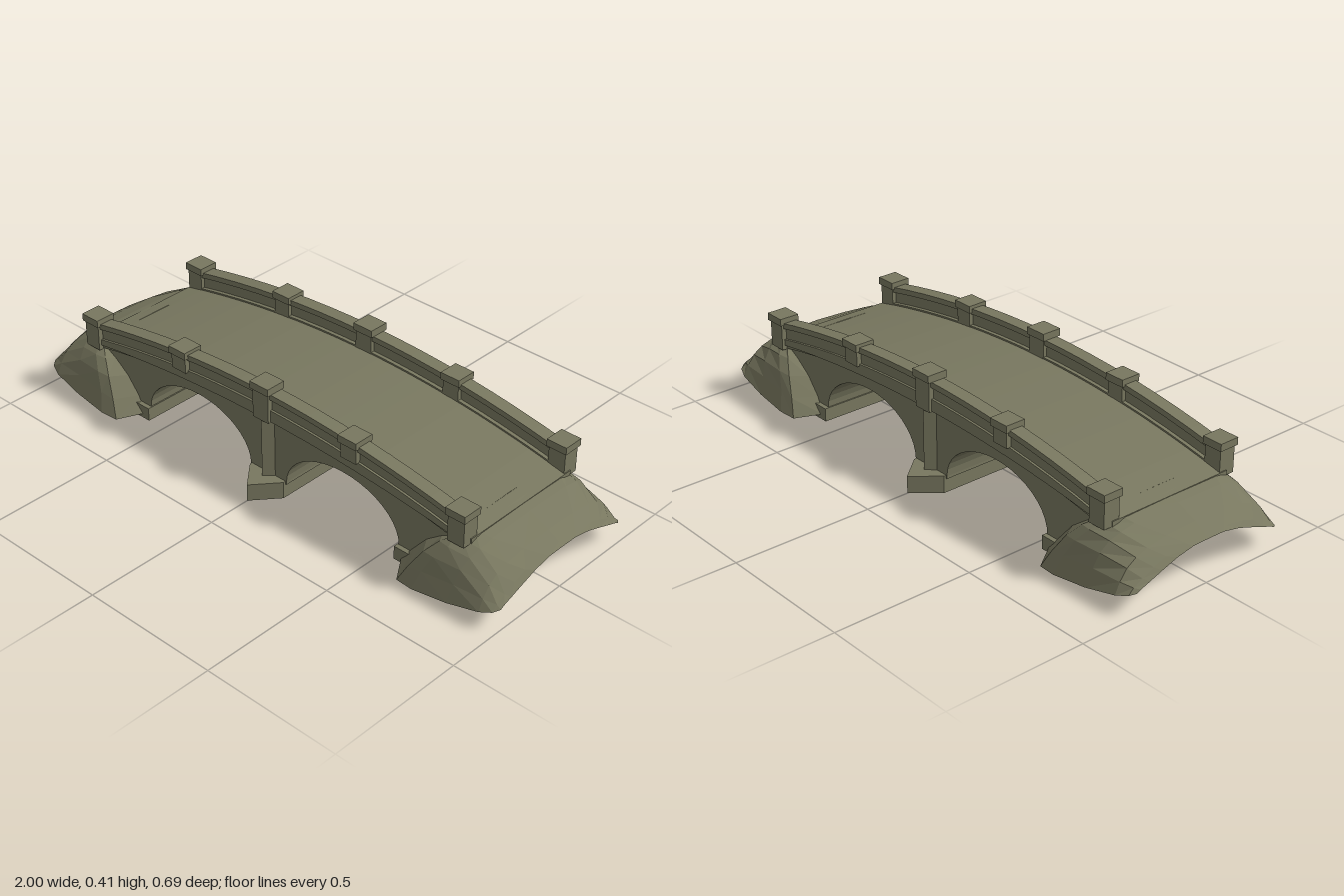
import * as THREE from 'three';

export function createModel() {
  const bridge = new THREE.Group();
  bridge.name = 'archBridge';
  const stone = new THREE.MeshStandardMaterial({ color: 0x78775f, flatShading: true, side: THREE.DoubleSide });
  stone.name = 'mossyStone';

  const add = (name, geometry) => {
    const mesh = new THREE.Mesh(geometry, stone);
    mesh.name = name;
    bridge.add(mesh);
    return mesh;
  };
  const box = (name, x0, x1, y0, y1, z0, z1) =>
    add(name, new THREE.BoxGeometry(x1 - x0, y1 - y0, z1 - z0)
      .translate((x0 + x1) / 2, (y0 + y1) / 2, (z0 + z1) / 2));
  // Extrudes an x-y outline between two depths
  const slab = (name, shape, z0, z1) =>
    add(name, new THREE.ExtrudeGeometry(shape, { depth: z1 - z0, bevelEnabled: false }).translate(0, 0, z0));
  const deckY = x => 0.32 - 0.13 * x * x;
  // Curved strip following the hump of the bridge
  const strip = (name, low, high, reach, z0, z1) => {
    const pts = [];
    const n = 16;
    for (let i = 0; i <= n; i++) {
      const x = -reach + 2 * reach * i / n;
      pts.push(new THREE.Vector2(x, low(x)));
    }
    for (let i = n; i >= 0; i--) {
      const x = -reach + 2 * reach * i / n;
      pts.push(new THREE.Vector2(x, high(x)));
    }
    slab(name, new THREE.Shape(pts), z0, z1);
  };

  // Main body: humped deck, two arches, sloping abutments
  const outline = [[-0.84, 0.2], [-0.79, 0.18], [-0.63, 0.05], [-0.56, 0.05]];
  const addArch = cx => {
    for (let i = 0; i <= 20; i++) {
      const a = Math.PI * (1 - i / 20);
      outline.push([cx + 0.24 * Math.cos(a), 0.06 + 0.16 * Math.sin(a)]);
    }
  };
  addArch(-0.32);
  outline.push([-0.08, 0.05], [0.08, 0.05]);
  addArch(0.32);
  outline.push([0.56, 0.05], [0.63, 0.05], [0.79, 0.18], [0.84, 0.2]);
  for (let i = 0; i <= 24; i++) {
    const x = 0.84 - 1.68 * i / 24;
    outline.push([x, deckY(x)]);
  }
  slab('archBody', new THREE.Shape(outline.map(p => new THREE.Vector2(...p))), -0.24, 0.24);

  // Pier footing: pointed at both ends, recessed underneath
  const prow = k => [[-0.076, -0.25], [0, -0.34], [0.076, -0.25], [0.076, 0.25], [0, 0.34], [-0.076, 0.25]]
    .map(([x, z]) => new THREE.Vector2(x * k, z * (0.75 + 0.25 * k)));
  const footing = new THREE.Shape(prow(1));
  footing.holes.push(new THREE.Path(prow(0.65)));
  const upright = (name, shape, y0, y1) =>
    add(name, new THREE.ExtrudeGeometry(shape, { depth: y1 - y0, bevelEnabled: false })
      .rotateX(-Math.PI / 2).translate(0, y0, 0));
  upright('pierFooting', footing, 0, 0.045);
  upright('pierFootingTop', new THREE.Shape(prow(1)), 0.045, 0.062);

  // Railings, cornices and posts on both sides
  for (const s of [-1, 1]) {
    const span = (a, b) => (s > 0 ? [a, b] : [-b, -a]);
    strip('parapet', x => deckY(x) - 0.03, x => deckY(x) + 0.052, 0.8, ...span(0.226, 0.254));
    strip('handrail', x => deckY(x) + 0.048, x => deckY(x) + 0.068, 0.8, ...span(0.216, 0.265));
    strip('cornice', x => 0.283 - 0.095 * x * x, x => deckY(x) + 0.006, 0.79, ...span(0.212, 0.262));

    // Triangular pilaster above the pier
    const ridge = [[-0.035, 0.235], [0, 0.27], [0.035, 0.235]];
    upright('pierPilaster', new THREE.Shape(ridge.map(([x, z]) => new THREE.Vector2(x, -z * s))), 0.06, 0.3);

    // Posts: x, half width, bottom, top
    for (const [x, w, y0, y1] of [[-0.805, 0.032, 0.21, 0.33], [-0.375, 0.032, 0.303, 0.385],
      [0, 0.034, 0.28, 0.413], [0.375, 0.032, 0.303, 0.385], [0.805, 0.032, 0.21, 0.33]]) {
      box('post', x - w, x + w, y0, y1 - 0.02, ...span(0.211, 0.272));
      box('postCap', x - w - 0.006, x + w + 0.006, y1 - 0.026, y1, ...span(0.205, 0.279));
    }
  }

  // Half cross-sections [x, y, z] of an end ramp, from the wall out to the tip
  const sections = [
    [[0.58, 0.03, 0.25], [0.62, 0.08, 0.24], [0.67, 0.14, 0.24], [0.73, 0.185, 0.24], [0.78, 0.212, 0.238], [0.78, 0.236, 0.2], [0.78, 0.238, 0]],
    [[0.635, 0.02, 0.335], [0.665, 0.08, 0.318], [0.705, 0.145, 0.297], [0.745, 0.19, 0.272], [0.785, 0.22, 0.243], [0.785, 0.239, 0.2], [0.785, 0.241, 0]],
    [[0.7, 0.024, 0.343], [0.72, 0.09, 0.322], [0.75, 0.15, 0.305], [0.785, 0.193, 0.28], [0.81, 0.217, 0.245], [0.82, 0.231, 0.2], [0.82, 0.233, 0]],
    [[0.83, 0.038, 0.335], [0.84, 0.1, 0.315], [0.85, 0.15, 0.298], [0.86, 0.185, 0.27], [0.87, 0.205, 0.235], [0.87, 0.215, 0.18], [0.87, 0.218, 0]],
    [[0.945, 0.062, 0.325], [0.945, 0.1, 0.307], [0.945, 0.135, 0.28], [0.945, 0.158, 0.245], [0.945, 0.173, 0.2], [0.945, 0.183, 0.12], [0.945, 0.187, 0]],
    [[0.985, 0.073, 0.31], [0.985, 0.092, 0.29], [0.985, 0.11, 0.255], [0.985, 0.13, 0.21], [0.985, 0.147, 0.16], [0.985, 0.16, 0.08], [0.985, 0.163, 0]],
    [[1, 0.08, 0.29], [1, 0.088, 0.275], [1, 0.1, 0.24], [1, 0.118, 0.19], [1, 0.138, 0.13], [1, 0.151, 0.065], [1, 0.152, 0]],
  ];
  const rampGeometry = side => {
    const pos = [], index = [];
    for (const half of sections) {
      const mirrored = half.slice(0, -1).reverse().map(([x, y, z]) => [x, y, -z]);
      for (const [x, y, z] of [...half, ...mirrored]) pos.push(x * side, y, z);
    }
    const n = 13;
    for (let i = 0; i < sections.length - 1; i++) {
      for (let j = 0; j < n - 1; j++) {
        const a = i * n + j, b = a + n;
        if (side > 0) index.push(a, b, a + 1, b, b + 1, a + 1);
        else index.push(a, a + 1, b, b, a + 1, b + 1);
      }
    }
    const g = new THREE.BufferGeometry();
    g.setAttribute('position', new THREE.Float32BufferAttribute(pos, 3));
    g.setIndex(index);
    g.computeVertexNormals();
    return g;
  };

  // End ramps and abutment footings
  for (const s of [-1, 1]) {
    add('endRamp', rampGeometry(s));
    const [x0, x1] = s > 0 ? [0.555, 0.635] : [-0.635, -0.555];
    box('abutmentFooting', x0, x1, 0.014, 0.062, -0.257, 0.257);
  }
  return bridge;
}
